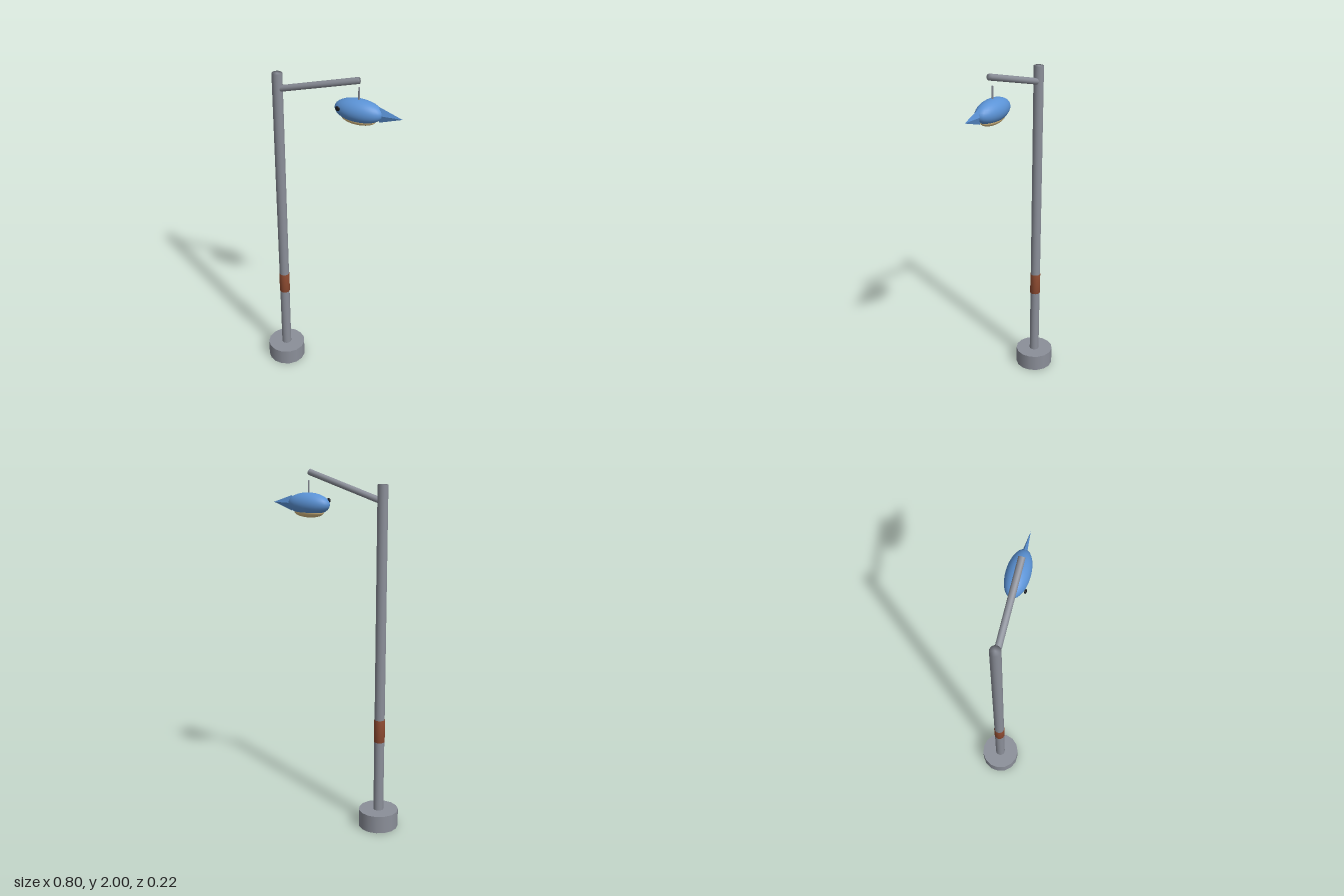
import * as THREE from 'three';
import { mergeVertices } from 'three/addons/utils/BufferGeometryUtils.js';

const mat = (name, color) => {
  const m = new THREE.MeshStandardMaterial({ color });
  m.name = name;
  return m;
};

// Cylinder whose caps and sides share soft normals
function softCylinder(radius, height, sides) {
  const g = new THREE.CylinderGeometry(radius, radius, height, sides);
  g.deleteAttribute('uv');
  g.deleteAttribute('normal');
  const merged = mergeVertices(g, 1e-5);
  merged.computeVertexNormals();
  return merged;
}

export function createModel() {
  const group = new THREE.Group();
  const grey = mat('grey metal', 0x8b8f99);
  const rust = mat('rust brown', 0x8c4a30);
  const blue = mat('blue', 0x5b93d6);
  const cream = mat('cream', 0xdcbf85);
  const black = mat('black', 0x15151a);

  const add = (name, geometry, material, x, y, z, parent = group) => {
    const mesh = new THREE.Mesh(geometry, material);
    mesh.name = name;
    mesh.position.set(x, y, z);
    parent.add(mesh);
    return mesh;
  };
  const ellipsoid = (rx, ry, rz, w = 28, h = 18) =>
    new THREE.SphereGeometry(1, w, h).scale(rx, ry, rz);

  // Post
  const postX = -0.293;
  add('base', new THREE.CylinderGeometry(0.112, 0.112, 0.1, 15).rotateY(Math.PI), grey, postX, 0.05, 0);
  add('pole', softCylinder(0.0285, 1.85, 16), grey, postX, 1.005, 0);
  add('band', softCylinder(0.0305, 0.13, 16), rust, postX, 0.575, 0);

  // Sloping arm
  const start = new THREE.Vector3(postX, 1.842, 0);
  const end = new THREE.Vector3(0.168, 1.98, 0);
  const along = end.clone().sub(start);
  const mid = start.clone().add(end).multiplyScalar(0.5);
  const arm = add('arm', softCylinder(0.0175, along.length(), 12), grey, mid.x, mid.y, mid.z);
  arm.quaternion.setFromUnitVectors(new THREE.Vector3(0, 1, 0), along.normalize());

  // Hanging bird, facing the pole
  const bird = new THREE.Group();
  bird.name = 'bird';
  bird.position.set(0.163, 1.809, -0.015);
  group.add(bird);
  add('hanger', new THREE.CylinderGeometry(0.005, 0.005, 0.08, 8), grey, 0, 0.087, 0, bird);
  add('body', ellipsoid(0.132, 0.062, 0.062), blue, 0, 0, 0, bird);
  add('belly', ellipsoid(0.095, 0.031, 0.043), cream, 0, -0.043, 0, bird);
  add('eye', ellipsoid(0.013, 0.013, 0.006, 12, 8), black, -0.09, 0.018, 0.06, bird);

  // Flattened four-sided tail with its tip pointing away from the pole
  const tail = new THREE.ConeGeometry(1, 0.125, 4).toNonIndexed();
  tail.computeVertexNormals();
  tail.rotateZ(-Math.PI / 2).scale(1, 0.043, 0.0135);
  add('tail', tail, blue, 0.175, 0, 0, bird);

  return group;
}
